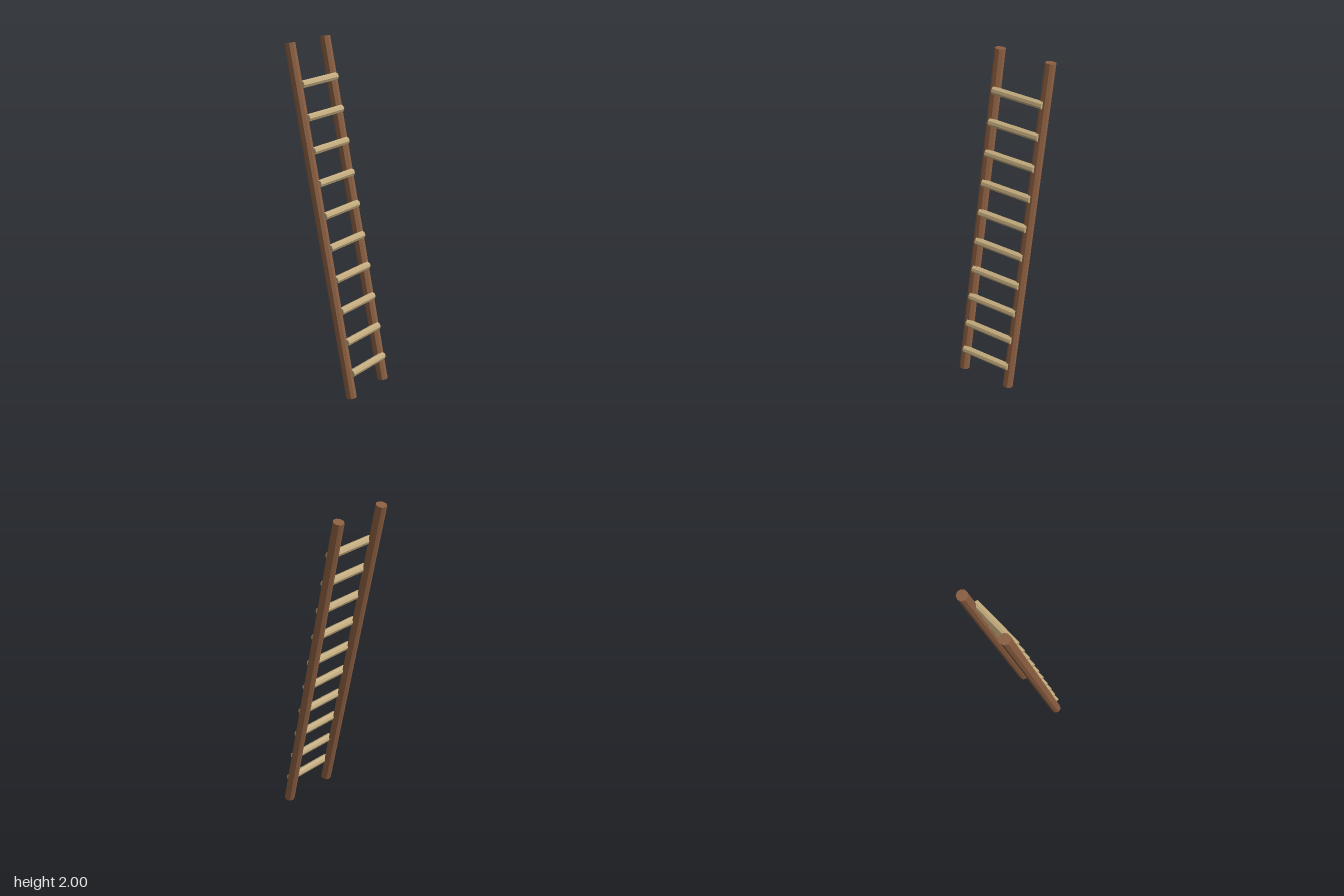
import * as THREE from 'three';

export function createModel() {
  const group = new THREE.Group();
  group.name = 'ladder';

  const railWood = new THREE.MeshStandardMaterial({ color: 0x8b5e40, flatShading: true });
  railWood.name = 'railWood';
  const rungWood = new THREE.MeshStandardMaterial({ color: 0xc2aa7c, flatShading: true });
  rungWood.name = 'rungWood';

  const lean = 0.21;
  const railX = 0.154;

  // Two nine-sided rails leaning backwards
  const railGeometry = new THREE.CylinderGeometry(0.031, 0.031, 2.032, 9, 1, false, Math.PI);
  for (const side of [1, -1]) {
    const rail = new THREE.Mesh(railGeometry, railWood);
    rail.name = side > 0 ? 'leftRail' : 'rightRail';
    rail.position.set(side * railX, 1, 0.001);
    rail.rotation.x = -lean;
    group.add(rail);
  }

  // Ten eight-sided rungs set on the front of the rails
  const rungGeometry = new THREE.CylinderGeometry(0.0223, 0.0223, railX * 2, 8);
  rungGeometry.rotateZ(Math.PI / 2);
  for (let i = 0; i < 10; i++) {
    const y = 0.154 + i * 0.18;
    const rung = new THREE.Mesh(rungGeometry, rungWood);
    rung.name = `rung${i + 1}`;
    rung.position.set(0, y, (1 - y) * Math.tan(lean) + 0.03);
    group.add(rung);
  }

  return group;
}
